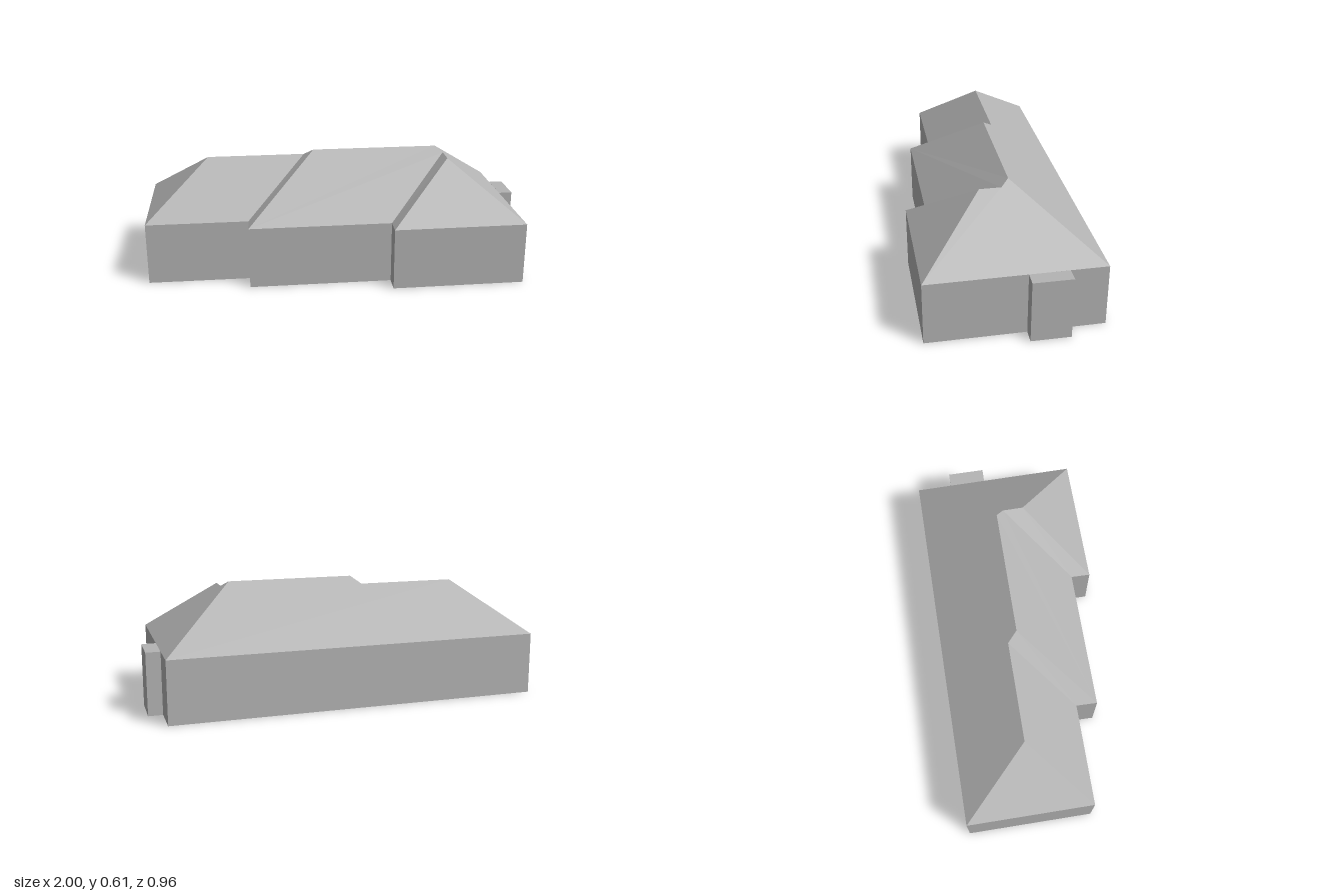
import * as THREE from 'three';

const EAVE = 0.316;

// Triangulates a polygon of [x, y, z] points, wound counter-clockwise from above.
function slope(points) {
  const flat = points.map(([x, , z]) => new THREE.Vector2(x, -z));
  const out = [];
  for (const [a, b, c] of THREE.ShapeUtils.triangulateShape(flat, [])) {
    const ccw = THREE.ShapeUtils.area([flat[a], flat[b], flat[c]]) > 0;
    for (const i of ccw ? [a, b, c] : [a, c, b]) out.push(...points[i]);
  }
  return out;
}

// Vertical wall faces around a footprint of [x, z] points.
function walls(ring) {
  return ring.flatMap(([x, z], i) => {
    const [u, w] = ring[(i + 1) % ring.length];
    return [x, 0, z, u, 0, w, u, EAVE, w, x, 0, z, u, EAVE, w, x, EAVE, z];
  });
}

// Downward facing floor: the flat polygon with its triangles reversed.
function floor(ring) {
  const t = slope(ring.map(([x, z]) => [x, 0, z]));
  const out = [];
  for (let i = 0; i < t.length; i += 9) {
    out.push(...t.slice(i, i + 3), ...t.slice(i + 6, i + 9), ...t.slice(i + 3, i + 6));
  }
  return out;
}

export function createModel() {
  const group = new THREE.Group();
  const material = new THREE.MeshStandardMaterial({ color: 0xb4b4b4 });
  material.name = 'plain grey';

  function add(name, positions) {
    const geometry = new THREE.BufferGeometry();
    geometry.setAttribute('position', new THREE.Float32BufferAttribute(positions, 3));
    geometry.computeVertexNormals();
    const mesh = new THREE.Mesh(geometry, material);
    mesh.name = name;
    group.add(mesh);
  }

  // Stepped footprint, from the back right corner round the front
  const ring = [
    [-0.96, -0.486], [-1, 0.16], [-0.485, 0.192], [-0.494, 0.3],
    [0.226, 0.342], [0.218, 0.44], [0.89, 0.478], [0.938, -0.378],
  ];
  add('walls', walls(ring));
  add('floor', floor(ring));

  // Eave corners and ridge points of the stepped hip roof
  const [A, H, G, F, E, D, C, B] = ring.map(([x, z]) => [x, EAVE, z]);
  const lowRidgeStart = [-0.664, 0.57, -0.126];
  const lowRidgeEnd = [-0.158, 0.57, -0.096];
  const highRidgeStart = [-0.115, 0.607, -0.043];
  const highRidgeEnd = [0.537, 0.607, -0.004];
  const wingRidgeBack = [0.57, 0.58, 0.036];
  const wingRidgeFront = [0.564, 0.58, 0.142];

  add('backRoof', slope([B, A, lowRidgeStart, lowRidgeEnd, highRidgeStart, highRidgeEnd]));
  add('rightHip', slope([A, H, lowRidgeStart]));
  add('frontRoofLow', slope([H, G, lowRidgeEnd, lowRidgeStart]));
  add('middleStepRoof', slope([G, F, highRidgeStart, lowRidgeEnd]));
  add('frontRoofMiddle', slope([F, E, wingRidgeBack, highRidgeEnd, highRidgeStart]));
  add('wingStepRoof', slope([E, D, wingRidgeFront, wingRidgeBack]));
  add('wingFrontRoof', slope([D, C, wingRidgeFront]));
  add('leftHip', slope([C, B, highRidgeEnd, wingRidgeBack, wingRidgeFront]));

  // Small flat-topped projection on the left wall
  const bay = [[0.928, -0.195], [0.917, -0.003], [0.988, 0.002], [1, -0.191]];
  add('bayWalls', walls(bay));
  add('bayTop', slope(bay.map(([x, z]) => [x, EAVE, z])));
  add('bayFloor', floor(bay));

  return group;
}
